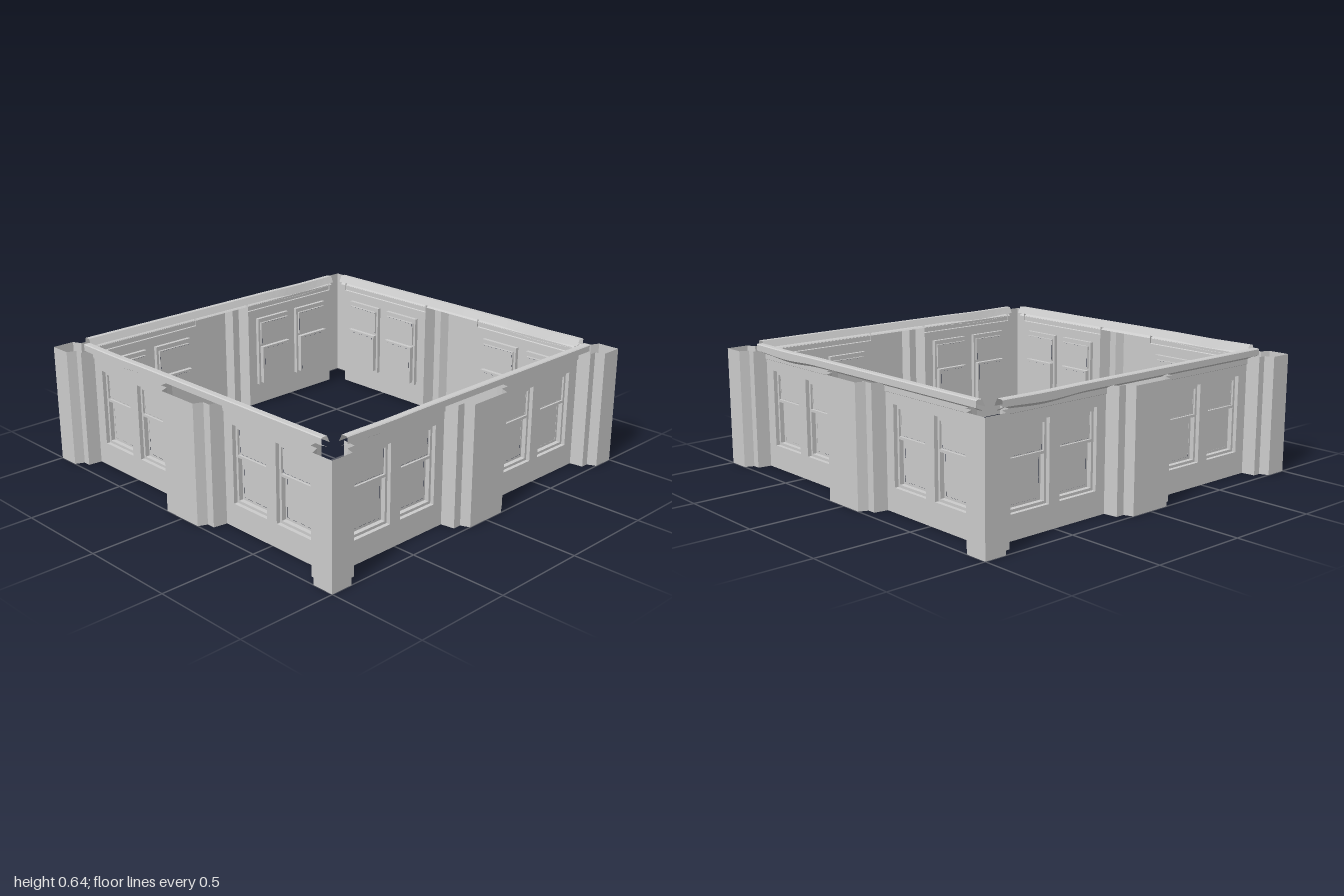
import * as THREE from 'three';

const material = new THREE.MeshStandardMaterial({ color: 0xcccccc, flatShading: true, side: THREE.DoubleSide });

const H = 0.605;       // pilaster height
const WALL_TOP = 0.56; // top of the plain wall panel
const WALL_Z = 0.885;  // distance of the wall from the centre
const SASH_Z = 0.865;

function add(parent, name, geometry) {
  const mesh = new THREE.Mesh(geometry, material);
  mesh.name = name;
  parent.add(mesh);
  return mesh;
}

// Skin over equal-length rows of [x, y, z] points
function sheet(rows) {
  const n = rows[0].length;
  const index = [];
  for (let i = 0; i < rows.length - 1; i++) {
    for (let j = 0; j < n - 1; j++) {
      const a = i * n + j, b = a + 1, c = a + n, d = c + 1;
      index.push(a, b, d, a, d, c);
    }
  }
  const g = new THREE.BufferGeometry();
  g.setAttribute('position', new THREE.Float32BufferAttribute(rows.flat(2), 3));
  g.setIndex(index);
  const flat = g.toNonIndexed();
  flat.computeVertexNormals();
  return flat;
}

// Closed rectangle as a row of points; r = [x0, x1, y0, y1]
const loop = ([x0, x1, y0, y1], z) =>
  [[x0, y0, z], [x1, y0, z], [x1, y1, z], [x0, y1, z], [x0, y0, z]];

const corners = ([x0, x1, y0, y1]) =>
  [[x0, y0], [x1, y0], [x1, y1], [x0, y1]].map(([x, y]) => new THREE.Vector2(x, y));

// Flat rectangle with rectangular holes
function plate(rect, holes, z) {
  const shape = new THREE.Shape(corners(rect));
  for (const h of holes) shape.holes.push(new THREE.Path(corners(h).reverse()));
  return new THREE.ShapeGeometry(shape).translate(0, 0, z);
}

const inset = ([x0, x1, y0, y1], d) => [x0 + d, x1 - d, y0 + d, y1 - d];
const opening = (cx) => [cx - 0.113, cx + 0.113, 0.12, 0.51];

// Recessed double-hung window: reveal, sash plane, two sunken panes
function makeWindow(cx) {
  const group = new THREE.Group();
  group.name = 'window';
  const outer = opening(cx);
  const upper = [cx - 0.1, cx + 0.1, 0.36, 0.487];
  const lower = [cx - 0.1, cx + 0.1, 0.133, 0.347];
  add(group, 'reveal', sheet([loop(outer, WALL_Z), loop(outer, SASH_Z)]));
  add(group, 'sash', plate(outer, [upper, lower], SASH_Z));
  for (const [name, rect, z, d] of [['upperPane', upper, 0.855, 0.004], ['lowerPane', lower, 0.842, 0.012]]) {
    const glass = inset(rect, d);
    add(group, name + 'Frame', sheet([loop(rect, SASH_Z), loop(rect, z), loop(glass, z)]));
    add(group, name, plate(glass, [], z - 0.001));
  }
  return group;
}

// Upright folded strip following a plan line of [x, z] points
const strip = (plan, y0, y1) => sheet([y0, y1].map((y) => plan.map(([x, z]) => [x, y, z])));

// Cornice: open profile of [z, y, sag] swept along x, with a slight sag near one end
function makeCornice() {
  const profile = [[0.89, 0.588, 1], [0.897, 0.594, 1], [0.925, 0.606, 0.8],
    [0.925, 0.636, 0.2], [0.92, 0.64, 0.2], [0.893, 0.64, 0.2], [0.876, 0.606, 0.8]];
  const steps = 34;
  return sheet(profile.map(([z, y, sag]) => Array.from({ length: steps + 1 }, (_, i) => {
    const x = -0.84 + (1.7 * i) / steps;
    const t = Math.min(1, Math.abs(x + 0.58) / 0.26);
    return [x, y - 0.006 * sag * (1 + Math.cos(Math.PI * t)), z];
  })));
}

function makeSide() {
  const side = new THREE.Group();
  side.name = 'side';

  // Half corner pilasters and the middle pilaster, each stepping back to the wall
  const rightCorner = [[0.818, WALL_Z], [0.827, 0.955], [0.867, 0.955], [0.886, 1], [1, 1]];
  const leftCorner = rightCorner.map(([x, z]) => [-x, z]).reverse();
  const halfMiddle = [[0.113, 1], [0.132, 0.955], [0.175, 0.955], [0.186, WALL_Z]];
  const middle = [...halfMiddle.map(([x, z]) => [-x, z]).reverse(), ...halfMiddle];
  add(side, 'leftCornerPilaster', strip(leftCorner, 0, H));
  add(side, 'rightCornerPilaster', strip(rightCorner, 0, H));
  add(side, 'middlePilaster', strip(middle, 0, H));

  // Two wall bays, each with a pair of windows and a top moulding
  for (const s of [-1, 1]) {
    const x0 = s < 0 ? -0.818 : 0.186;
    const x1 = s < 0 ? -0.186 : 0.818;
    const centres = [0.355, 0.645].map((c) => c * s);
    add(side, 'wallPanel', plate([x0, x1, 0, WALL_TOP], centres.map(opening), WALL_Z));
    for (const c of centres) side.add(makeWindow(c));
    const moulding = [[WALL_Z, WALL_TOP], [0.891, 0.563], [0.891, 0.59]];
    add(side, 'wallMoulding', sheet(moulding.map(([z, y]) => [[x0, y, z], [x1, y, z]])));
  }

  add(side, 'cornice', makeCornice());
  return side;
}

export function createModel() {
  const model = new THREE.Group();
  model.name = 'buildingStorey';
  // The same facade on all four sides
  ['front', 'left', 'back', 'right'].forEach((name, i) => {
    const side = makeSide();
    side.name = name + 'Facade';
    side.rotation.y = (i * Math.PI) / 2;
    model.add(side);
  });
  return model;
}
